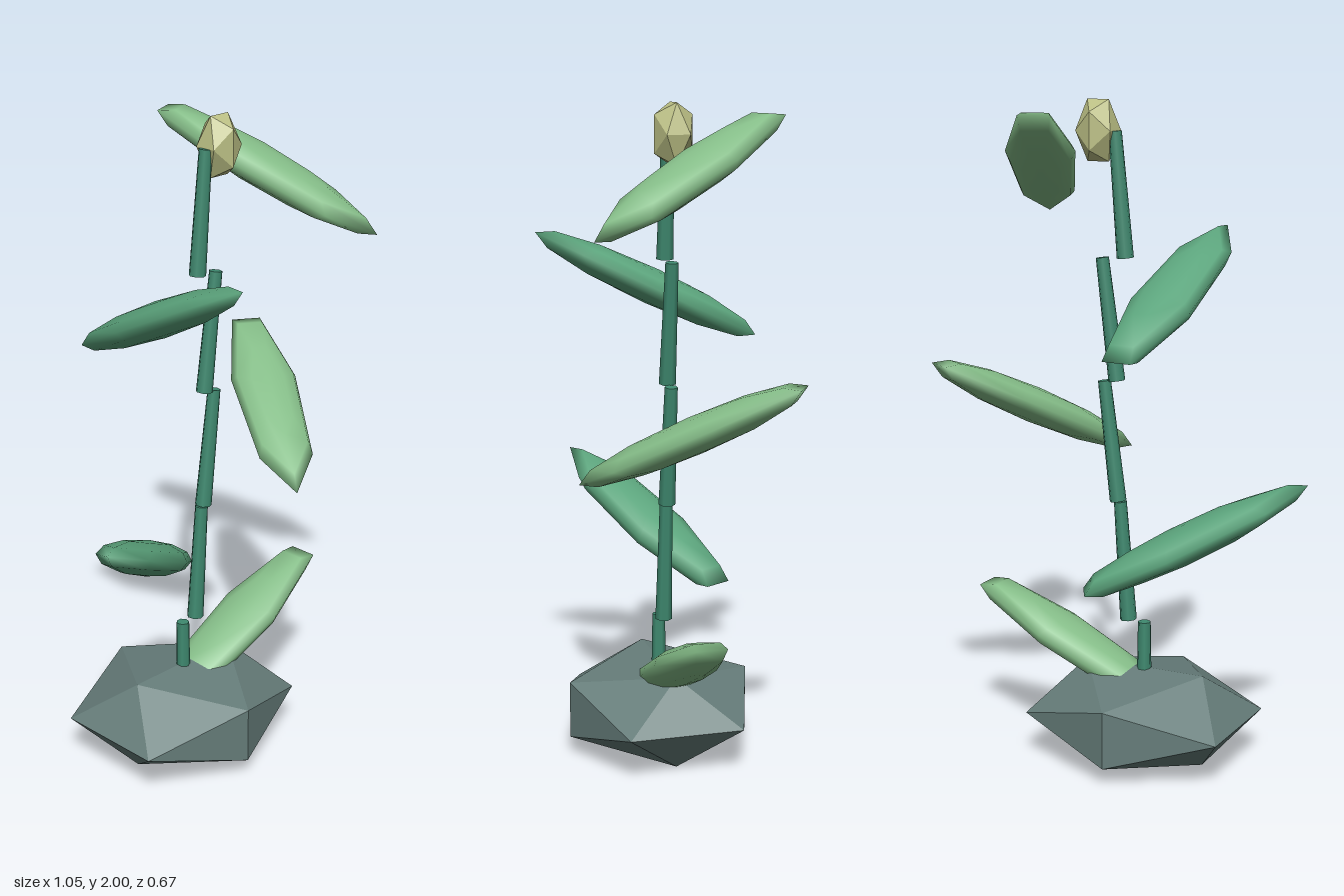
import * as THREE from 'three';

const mat = (color, flatShading = false) => new THREE.MeshStandardMaterial({ color, flatShading });

export function createModel() {
  const plant = new THREE.Group();
  plant.name = 'plant';
  const baseX = -0.065, baseZ = -0.016, step = 0.37;

  function add(name, geometry, material, x, y) {
    const mesh = new THREE.Mesh(geometry, material);
    mesh.name = name;
    mesh.position.set(x, y, baseZ);
    plant.add(mesh);
    return mesh;
  }

  // Faceted rock base
  const facet = new THREE.IcosahedronGeometry(1, 0);
  add('rock', facet, mat(0x667d7a, true), baseX, 0.1425).scale.set(0.374, 0.1675, 0.335);

  const stemGeo = new THREE.CylinderGeometry(0.02, 0.026, step, 7);
  const stemMat = mat(0x3f8a70);
  const leafGeo = new THREE.SphereGeometry(1, 7, 6);
  const leafMats = [mat(0x85bd88), mat(0x5ca57d)];
  const leafX = [0.171, -0.215, 0.314, -0.15, 0.275];

  for (let i = 0; i < 5; i++) {
    // Leaning stem segment
    const sway = 0.12 * Math.sin(0.6 * i);
    const stem = add('stemSegment' + (i + 1), stemGeo, stemMat, baseX + sway, 0.245 + i * step);
    stem.rotation.z = -1.1 * sway;

    // Leaf: one pointed and one blunt end, turning further at each level
    const leaf = add('leaf' + (i + 1), leafGeo, leafMats[i % 2], leafX[i], 0.332 + i * step);
    leaf.scale.set(0.391, 0.055, 0.106);
    leaf.rotation.set(0, 0.5 * i, i % 2 ? -0.45 : 0.45);
  }

  // Faceted bud on top
  add('bud', facet, mat(0xbcc085, true), 0.088, 1.91).scale.set(0.067, 0.106, 0.067);

  return plant;
}
